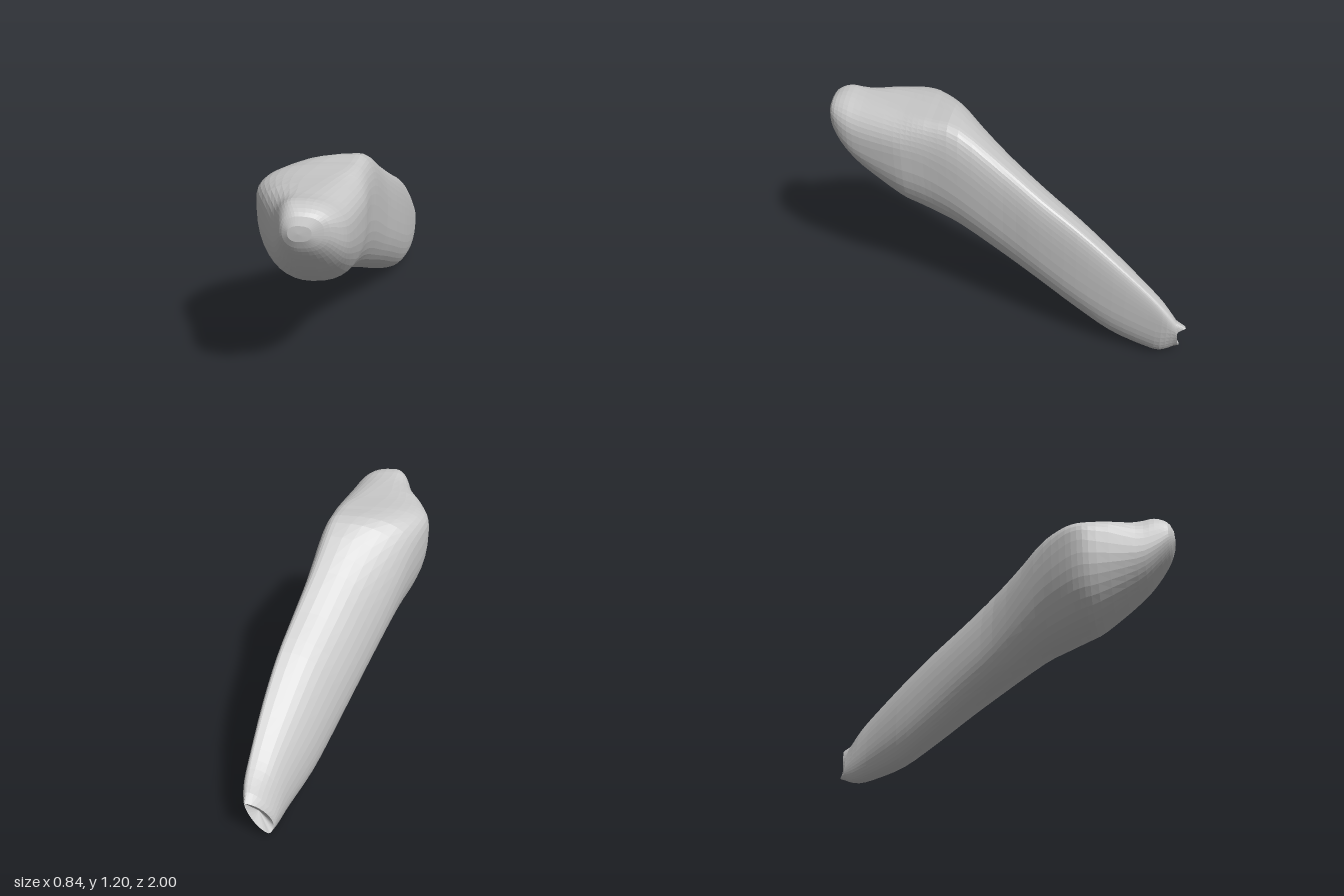
import * as THREE from 'three';

// Each row: z, then the left, right, top and bottom extremes of the section as x, y
const SECTIONS = [
  [1.0, -0.23, 1.08, -0.12, 1.08, -0.18, 1.12, -0.18, 1.04],
  [0.97, -0.268, 1.07, -0.04, 1.08, -0.18, 1.175, -0.17, 0.975],
  [0.9, -0.295, 1.02, 0.02, 1.03, -0.2, 1.2, -0.16, 0.88],
  [0.8, -0.33, 0.98, 0.06, 1.0, -0.17, 1.19, -0.15, 0.775],
  [0.6, -0.405, 0.99, 0.115, 0.99, -0.07, 1.18, -0.15, 0.62],
  [0.5, -0.42, 1.0, 0.13, 0.98, 0.0, 1.18, -0.14, 0.575],
  [0.4, -0.39, 0.97, 0.145, 0.95, 0.04, 1.18, -0.11, 0.545],
  [0.25, -0.315, 0.88, 0.177, 0.87, 0.075, 1.165, -0.06, 0.5],
  [0.0, -0.18, 0.63, 0.23, 0.7, 0.15, 1.0, 0.02, 0.375],
  [-0.2, -0.09, 0.5, 0.285, 0.57, 0.22, 0.865, 0.08, 0.27],
  [-0.4, 0.0, 0.38, 0.335, 0.45, 0.285, 0.74, 0.14, 0.155],
  [-0.6, 0.09, 0.26, 0.375, 0.35, 0.335, 0.59, 0.215, 0.055],
  [-0.8, 0.19, 0.16, 0.405, 0.27, 0.375, 0.42, 0.28, 0.01],
  [-0.9, 0.235, 0.11, 0.418, 0.24, 0.39, 0.32, 0.29, 0.0],
  [-0.97, 0.265, 0.065, 0.41, 0.195, 0.395, 0.23, 0.288, 0.025],
];
const SIDES = 40;
const RINGS = 42;

// Smooth rail through one extreme of every section
function rail(column) {
  const points = SECTIONS.map((s) => new THREE.Vector3(s[column], s[column + 1], s[0]));
  return new THREE.CatmullRomCurve3(points, false, 'catmullrom', 0.5);
}

// Fullness of a quarter arc: below 1 is boxy, above 1 is flat
function fullness(onRight, onTop, z) {
  const { smoothstep } = THREE.MathUtils;
  const tail = smoothstep(-z, 0.85, 0.97);
  if (onRight) return onTop ? 0.8 : 0.8 + 0.55 * tail;
  if (!onTop) return 0.92;
  const shoulder = smoothstep(z, 0.15, 0.45) - 0.7 * smoothstep(z, 0.65, 0.85);
  return 0.96 - 0.38 * shoulder + 0.3 * tail;
}

function bodyGeometry() {
  const [left, right, top, bottom] = [1, 3, 5, 7].map(rail);
  const positions = [];
  const index = [];
  const vertex = (i, j) => i * SIDES + (j % SIDES);

  for (let i = 0; i <= RINGS; i++) {
    const t = i / RINGS;
    const [l, r, u, d] = [left, right, top, bottom].map((c) => c.getPoint(t));
    for (let j = 0; j < SIDES; j++) {
      const a = (j / SIDES) * Math.PI * 2;
      const c = Math.cos(a);
      const s = Math.sin(a);
      // Quarter arcs join the four extremes
      const side = c >= 0 ? r : l;
      const cap = s >= 0 ? u : d;
      const p = fullness(c >= 0, s >= 0, l.z);
      const x = cap.x + (side.x - cap.x) * Math.abs(c) ** p;
      const y = side.y + (cap.y - side.y) * Math.abs(s) ** p;
      // The last ring has a scalloped rim with two lips
      const rim = i === RINGS ? 0.012 - (s > 0 ? 0.042 : 0.02) * s * s : 0;
      positions.push(x, y, l.z + rim);
    }
  }
  for (let i = 0; i < RINGS; i++) {
    for (let j = 0; j < SIDES; j++) {
      const a = vertex(i, j), b = vertex(i, j + 1);
      const c = vertex(i + 1, j), d = vertex(i + 1, j + 1);
      index.push(a, c, b, b, c, d);
    }
  }
  // Rounded nose and hollow tail end
  const nose = positions.length / 3;
  positions.push(-0.18, 1.08, 1.003, 0.342, 0.13, -0.93);
  for (let j = 0; j < SIDES; j++) {
    index.push(nose, vertex(0, j), vertex(0, j + 1));
    index.push(nose + 1, vertex(RINGS, j + 1), vertex(RINGS, j));
  }
  const geometry = new THREE.BufferGeometry();
  geometry.setAttribute('position', new THREE.Float32BufferAttribute(positions, 3));
  geometry.setIndex(index);
  geometry.computeVertexNormals();
  return geometry;
}

export function createModel() {
  const group = new THREE.Group();
  group.name = 'taperedStone';
  const grey = new THREE.MeshStandardMaterial({ color: 0xc8c8c8, flatShading: true });
  grey.name = 'stoneGrey';
  const body = new THREE.Mesh(bodyGeometry(), grey);
  body.name = 'body';
  group.add(body);
  return group;
}
